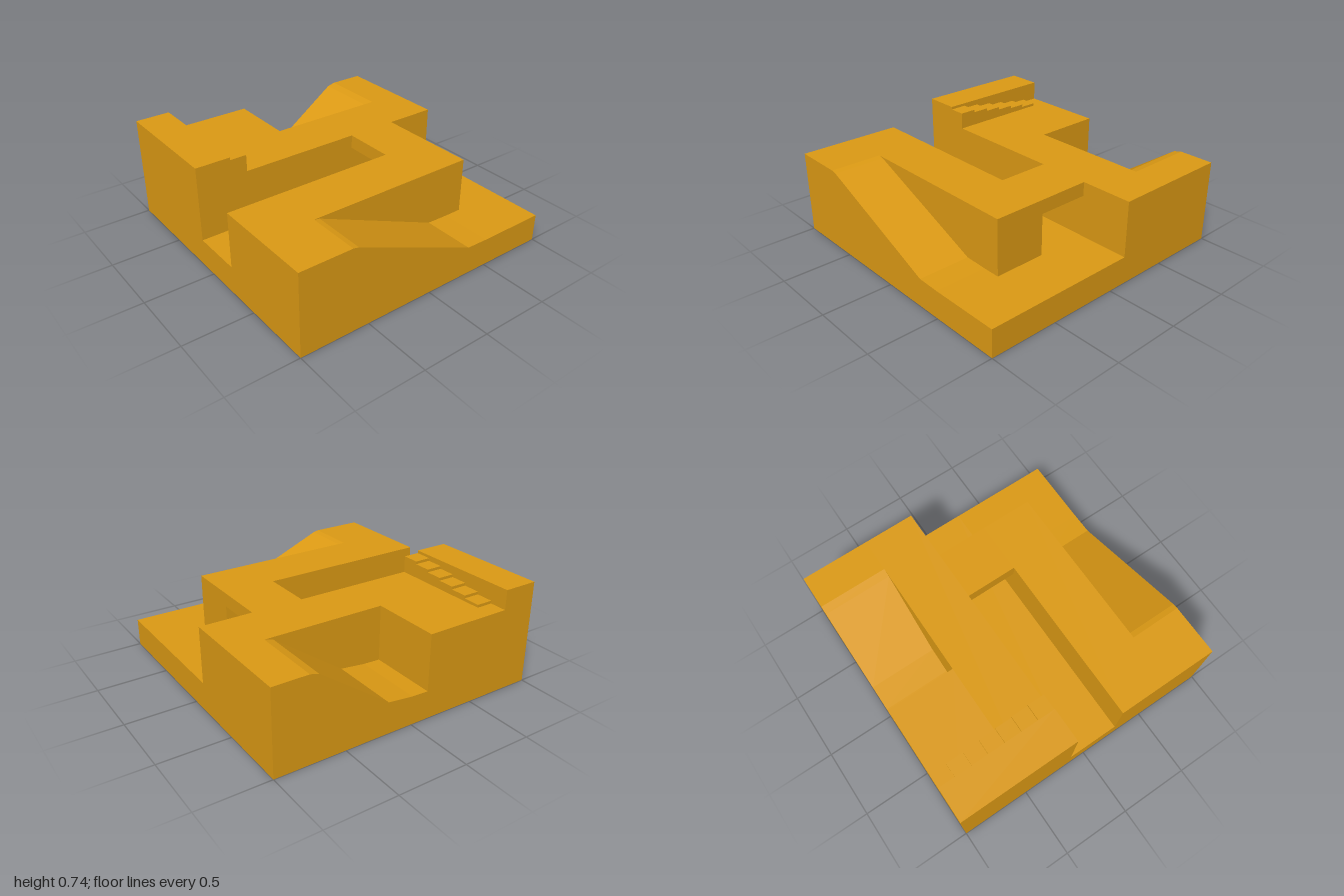
import * as THREE from 'three';

const material = new THREE.MeshStandardMaterial({ color: 0xdc9a14, flatShading: true });

// Slice of terrain: the top line (x, y from left to right) closed down to y = bottom, spanning z0..z1
function slice(name, top, z0, z1, bottom = 0) {
  const first = top[0][0], last = top[top.length - 1][0];
  const outline = [[first, bottom], [last, bottom], ...[...top].reverse()];
  const shape = new THREE.Shape(outline.map(([x, y]) => new THREE.Vector2(x, y)));
  const geometry = new THREE.ExtrudeGeometry(shape, { depth: z1 - z0, bevelEnabled: false });
  geometry.translate(0, 0, z0);
  const mesh = new THREE.Mesh(geometry, material);
  mesh.name = name;
  return mesh;
}

export function createModel() {
  const model = new THREE.Group();
  model.name = 'terrainBlock';
  const FLOOR = 0.2, DECK = 0.6, TOWER = 0.74;
  const BACK = -0.125, CANAL = 0.25, FRONT = 0.625, END = 0.625;

  // Rear strip with the short steep ramp
  model.add(slice('rearRamp', [
    [-1, DECK], [-0.125, DECK], [-0.125, FLOOR], [0.0, 0.205], [0.185, 0.226],
    [0.69, 0.585], [0.75, DECK], [1, DECK],
  ], -1, -0.5));

  // Solid deck between the rear ramp and the canal
  model.add(slice('rearDeck', [[-1, DECK], [1, DECK]], -0.5, BACK));

  // Canal floor and the bridge that turns its end into a tunnel
  model.add(slice('canalFloor', [[-1, FLOOR], [1, FLOOR]], BACK, CANAL));
  model.add(slice('bridge', [[0.25, DECK], [END, DECK]], BACK, CANAL, 0.5));

  // Deck in front of the canal, dropping to the low corner
  model.add(slice('frontDeck', [
    [-1, DECK], [END, DECK], [END, FLOOR], [1, FLOOR],
  ], CANAL, FRONT));

  // Front strip with the long ramp
  model.add(slice('frontRamp', [
    [-1, DECK], [-0.625, DECK], [-0.585, 0.592], [0.335, 0.205], [0.5, FLOOR], [1, FLOOR],
  ], FRONT, 1));

  // Raised platform with a staircase along its side
  model.add(slice('platform', [[-1, TOWER], [-0.75, TOWER]], -1, BACK, DECK));
  const stairs = new THREE.Group();
  stairs.name = 'stairs';
  for (let i = 0; i < 6; i++) {
    const z = -0.875 + i * 0.125, y = DECK + 0.02 * (i + 1);
    stairs.add(slice('step', [[-0.75, y], [-0.63, y]], z, z + 0.125, DECK));
  }
  model.add(stairs);

  return model;
}
